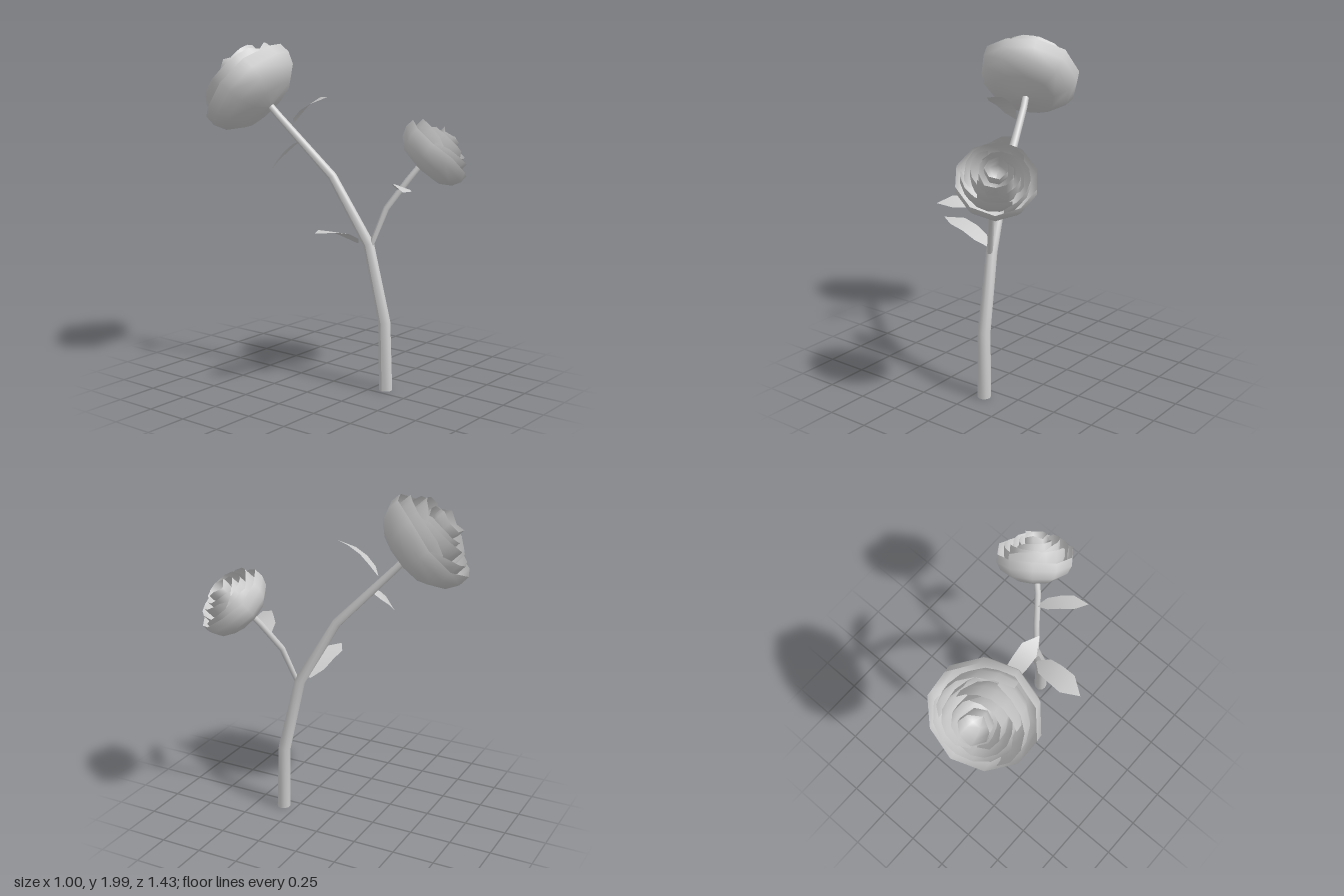
import * as THREE from 'three';

const material = new THREE.MeshStandardMaterial({ color: 0xcccccc, side: THREE.DoubleSide });
const V = (a) => new THREE.Vector3(...a);

// Smooth surface from a grid of points: point(u, v, i, j) with u, v in 0..1
function gridMesh(name, cols, rows, point) {
  const pos = [], index = [];
  for (let j = 0; j <= rows; j++)
    for (let i = 0; i <= cols; i++) pos.push(...point(i / cols, j / rows, i, j).toArray());
  for (let j = 0; j < rows; j++)
    for (let i = 0; i < cols; i++) {
      const a = j * (cols + 1) + i, b = a + 1, c = a + cols + 1, d = c + 1;
      index.push(a, c, b, b, c, d);
    }
  const geometry = new THREE.BufferGeometry();
  geometry.setAttribute('position', new THREE.Float32BufferAttribute(pos, 3));
  geometry.setIndex(index);
  geometry.computeVertexNormals();
  const mesh = new THREE.Mesh(geometry, material);
  mesh.name = name;
  return mesh;
}

// Tapered open stalk through path points given as [x, y, z, radius]
function stalk(name, path) {
  const p = path.map((q) => V(q.slice(0, 3)));
  return gridMesh(name, 10, path.length - 1, (u, v, i, j) => {
    const t = p[Math.min(j + 1, p.length - 1)].clone().sub(p[Math.max(j - 1, 0)]).normalize();
    if (j === 0) t.set(0, 1, 0);
    const side = new THREE.Vector3(0, 0, 1).cross(t).normalize();
    const front = t.clone().cross(side);
    const a = u * Math.PI * 2, r = path[j][3];
    return p[j].clone().addScaledVector(side, r * Math.cos(a)).addScaledVector(front, r * Math.sin(a));
  });
}

// Arched leaf from start to tip; across is the width direction
function leaf(start, tip, across, halfWidth, arch) {
  const s = V(start), d = V(tip).sub(s), w = V(across).normalize();
  const up = d.clone().cross(w).normalize();
  if (up.y < 0) up.negate();
  const outline = [[0, 0.1], [0.2, 0.85], [0.45, 0.97], [0.72, 1], [1, 0]];
  return gridMesh('leaf', 2, 4, (u, v, i, j) => {
    const [t, k] = outline[j];
    return s.clone().addScaledVector(d, t)
      .addScaledVector(w, (u * 2 - 1) * halfWidth * k)
      .addScaledVector(up, arch * 4 * t * (1 - t));
  });
}

// Cup profile of a petal: [radius, height] as fractions of the rim
const cup = [[0.04, 0], [0.62, 0.1], [0.9, 0.38], [1.01, 0.7], [1, 1]];

// Inner petal whose rim drops towards both ends
function petal(radius, height, angle, arc) {
  return gridMesh('petal', 6, 4, (u, v, i, j) => {
    const k = u * 2 - 1;
    const a = angle + k * arc / 2;
    const r = radius * cup[j][0] * (1 + 0.07 * k);
    const y = height * cup[j][1] * (1 - 0.16 * v * k ** 4);
    return new THREE.Vector3(Math.cos(a) * r, y, Math.sin(a) * r);
  });
}

// Closed open-topped cup with an uneven rim, between heights low and high
function openCup(name, radius, low, high, sides, wobble, turn) {
  const profile = cup.map(([r, h]) => new THREE.Vector2(radius * r, low + (high - low) * h));
  const geometry = new THREE.LatheGeometry(profile, sides);
  const p = geometry.attributes.position;
  for (let i = 0; i < p.count; i++) {
    const lift = (p.getY(i) - low) / (high - low);
    const a = Math.atan2(p.getZ(i), p.getX(i));
    p.setY(i, p.getY(i) + wobble * lift * Math.sin(a * 3 + turn));
  }
  const mesh = new THREE.Mesh(geometry, material);
  mesh.name = name;
  return mesh;
}

// Bloom: outer cup, rings of overlapping petals and a hollow heart
function flower(name, base, axis, scale, turn) {
  const group = new THREE.Group();
  group.name = name;
  group.add(openCup('outerPetals', 0.3, 0, 0.225, 10, 0.014, turn));
  const rings = [[0.243, 0.28, 3], [0.185, 0.305, 3], [0.132, 0.33, 2]];
  rings.forEach(([radius, height, count], n) => {
    for (let k = 0; k < count; k++) {
      const h = height * (1 + 0.08 * Math.sin(k * 2.3 + n * 1.7));
      const step = Math.PI * 2 / count;
      group.add(petal(radius, h, turn + n * 0.95 + k * step, step * 1.15));
    }
  });
  group.add(openCup('heart', 0.088, 0.21, 0.355, 7, 0.016, turn));
  group.scale.setScalar(scale);
  group.position.set(...base);
  group.quaternion.setFromUnitVectors(new THREE.Vector3(0, 1, 0), V(axis).normalize());
  return group;
}

export function createModel() {
  const model = new THREE.Group();
  model.name = 'roseBranch';

  // Stems
  model.add(stalk('mainStem', [
    [0.065, 0, 0.33, 0.04], [0.06, 0.4, 0.32, 0.037], [0.04, 0.85, 0.22, 0.033],
    [-0.025, 1.23, 0.008, 0.027], [-0.125, 1.57, -0.31, 0.021], [-0.145, 1.63, -0.36, 0.02]]));
  model.add(stalk('sideStem', [
    [0.04, 0.84, 0.235, 0.016], [0.1, 1.06, 0.3, 0.018],
    [0.175, 1.22, 0.395, 0.018], [0.225, 1.3, 0.44, 0.017]]));

  // Flowers
  model.add(flower('largeFlower', [-0.158, 1.615, -0.345], [-0.23, 0.68, -0.7], 1, 0.5));
  model.add(flower('smallFlower', [0.235, 1.28, 0.43], [0.43, 0.72, 0.54], 0.735, 1.6));

  // Leaves
  model.add(leaf([-0.11, 1.52, -0.21], [-0.12, 1.69, 0.05], [1, 0.35, 0], 0.052, 0.035));
  model.add(leaf([-0.1, 1.42, -0.18], [-0.357, 1.24, -0.2], [-0.4, 0.56, 0.7], 0.05, 0.02));
  model.add(leaf([-0.01, 0.86, 0.18], [-0.364, 0.965, 0.15], [0, 0, 1], 0.068, 0.035));
  model.add(leaf([0.14, 1.165, 0.35], [-0.085, 1.195, 0.54], [0.6, -0.35, 0.75], 0.053, 0.025));
  return model;
}
